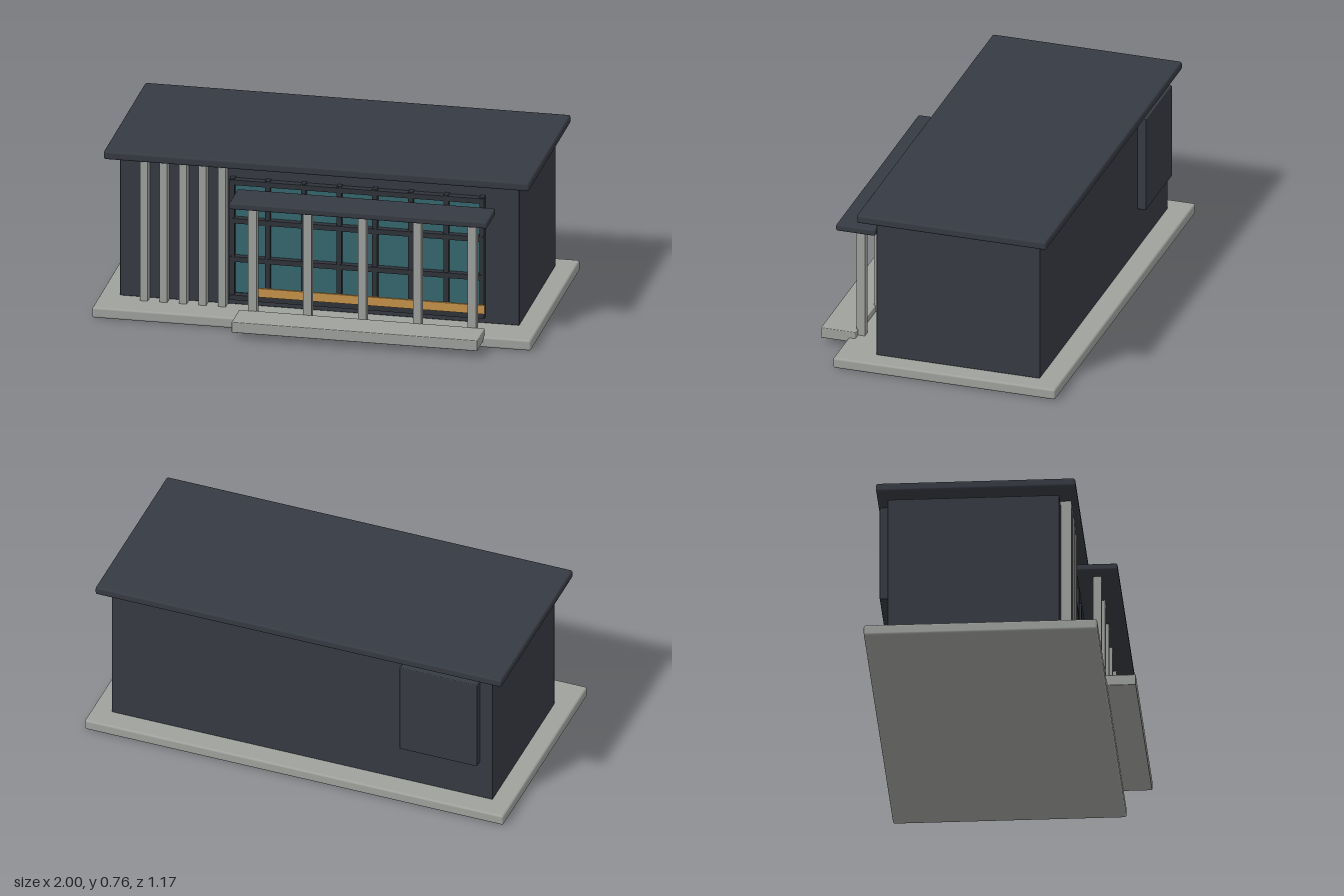
import * as THREE from 'three';
import { RoundedBoxGeometry } from 'three/addons/geometries/RoundedBoxGeometry.js';

function material(name, color) {
  const m = new THREE.MeshStandardMaterial({ color });
  m.name = name;
  return m;
}

export function createModel() {
  const charcoal = material('charcoal', 0x363a42);
  const trim = material('dark trim', 0x2f333a);
  const concrete = material('concrete', 0x9fa19d);
  const glass = material('teal glass', 0x35676f);
  const gold = material('warm gold', 0xc5934a);
  const model = new THREE.Group();
  model.name = 'pavilion';

  // Box from its extents on each axis, with an optional rounded edge
  function block(name, mat, [x0, x1], [y0, y1], [z0, z1], radius = 0, parent = model) {
    const size = [x1 - x0, y1 - y0, z1 - z0];
    const geometry = radius
      ? new RoundedBoxGeometry(...size, 2, radius)
      : new THREE.BoxGeometry(...size);
    const mesh = new THREE.Mesh(geometry, mat);
    mesh.name = name;
    mesh.position.set((x0 + x1) / 2, (y0 + y1) / 2, (z0 + z1) / 2);
    parent.add(mesh);
    return mesh;
  }

  function group(name) {
    const g = new THREE.Group();
    g.name = name;
    model.add(g);
    return g;
  }

  // Main masses
  block('foundation', concrete, [-1, 1], [0, 0.05], [-0.585, 0.458], 0.01);
  block('building', charcoal, [-0.91, 0.91], [0.05, 0.705], [-0.484, 0.283], 0.004);
  block('roof', charcoal, [-0.97, 0.97], [0.72, 0.759], [-0.532, 0.358], 0.01);
  block('backPanel', charcoal, [-0.85, -0.48], [0.245, 0.695], [-0.523, -0.48], 0.004);

  // Entrance step and canopy
  block('entranceStep', concrete, [-0.337, 0.783], [0.03, 0.08], [0.424, 0.587], 0.004);
  block('canopy', charcoal, [-0.366, 0.81], [0.585, 0.616], [0.322, 0.507], 0.008);

  // Canopy columns
  const columns = group('canopyColumns');
  for (let i = 0; i < 5; i++) {
    const x = -0.275 + i * 0.25;
    block('column', concrete, [x - 0.019, x + 0.019], [0.05, 0.59], [0.392, 0.431], 0, columns);
  }

  // Tall vertical fins left of the window
  const fins = group('facadeFins');
  for (let i = 0; i < 5; i++) {
    const x = -0.791 + i * 0.0888;
    block('fin', concrete, [x - 0.017, x + 0.017], [0.05, 0.722], [0.257, 0.33], 0, fins);
  }

  // Window wall: glass, mullions, rails and the gold sill
  const windowWall = group('windowWall');
  block('glassPane', glass, [-0.388, 0.74], [0.11, 0.622], [0.28, 0.291], 0, windowWall);
  for (let i = 0; i < 8; i++) {
    const x = -0.393 + i * 0.1627;
    block('mullion', trim, [x - 0.011, x + 0.011], [0.087, 0.66], [0.285, 0.317], 0, windowWall);
  }
  for (let i = 0; i < 4; i++) {
    const y = 0.095 + i * 0.1827;
    block('rail', trim, [-0.404, 0.757], [y - 0.012, y + 0.012], [0.287, 0.321], 0, windowWall);
  }
  block('goldSill', gold, [-0.313, 0.762], [0.109, 0.15], [0.318, 0.329], 0, windowWall);

  return model;
}
